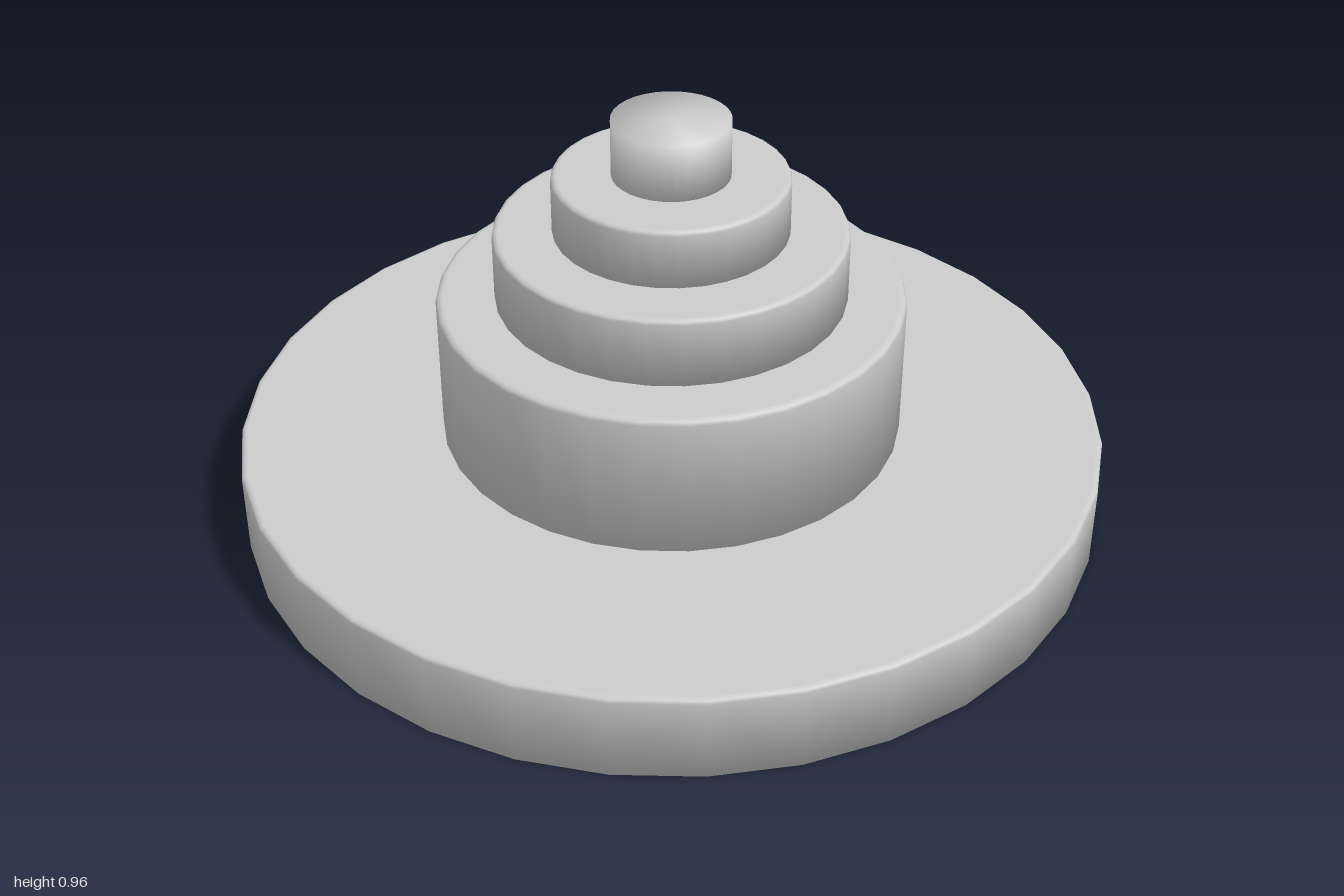
import * as THREE from 'three';

const SIDES = 32;
const material = new THREE.MeshStandardMaterial({ color: 0xcccccc });

// Solid round tier from y0 to y1, smooth shaded, with an optional small bevel on its top edge
function tier(name, radius, y0, y1, bevel) {
  const profile = [[0, y0], [radius, y0]];
  if (bevel > 0) {
    profile.push(
      [radius, y1 - bevel],
      [radius - bevel * 0.3, y1 - bevel * 0.3],
      [radius - bevel, y1],
      [radius - bevel * 1.5, y1], // keeps the top face flat
    );
  } else {
    profile.push([radius, y1]);
  }
  profile.push([0, y1]);
  const points = profile.map(([x, y]) => new THREE.Vector2(x, y));
  const mesh = new THREE.Mesh(new THREE.LatheGeometry(points, SIDES), material);
  mesh.name = name;
  return mesh;
}

export function createModel() {
  const model = new THREE.Group();
  model.name = 'steppedRoundTower';

  // Wide base, drum and three shrinking steps
  const tiers = [
    ['base', 1, 0, 0.2, 0.01],
    ['drum', 0.533, 0.2, 0.535, 0.012],
    ['lowerStep', 0.4, 0.535, 0.695, 0.01],
    ['upperStep', 0.266, 0.695, 0.83, 0.01],
    ['topKnob', 0.133, 0.83, 0.963, 0],
  ];
  for (const t of tiers) model.add(tier(...t));

  return model;
}
